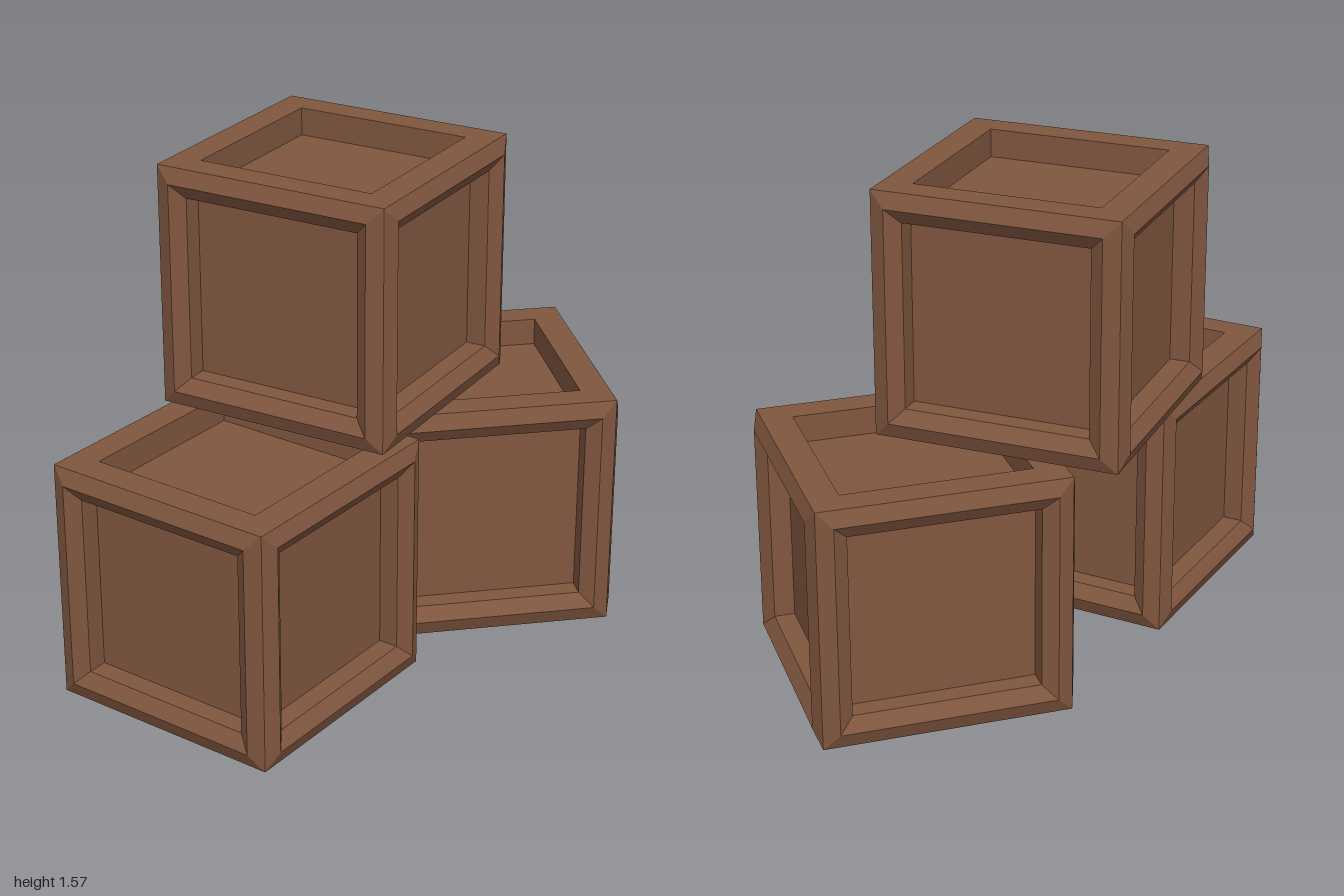
import * as THREE from 'three';

// A panel facing +z built from square rings [halfWidth, distanceFromCentre], closed by the last ring
function ringPanel(rings) {
  const pos = [];
  const corner = ([h, d], i) => [[-h, -h, d], [h, -h, d], [h, h, d], [-h, h, d]][i % 4];
  const quad = (a, b, c, d) => pos.push(...a, ...b, ...c, ...a, ...c, ...d);
  for (let r = 0; r < rings.length - 1; r++) {
    for (let i = 0; i < 4; i++) {
      quad(corner(rings[r], i), corner(rings[r], i + 1), corner(rings[r + 1], i + 1), corner(rings[r + 1], i));
    }
  }
  const last = rings[rings.length - 1];
  quad(corner(last, 0), corner(last, 1), corner(last, 2), corner(last, 3));
  const geo = new THREE.BufferGeometry();
  geo.setAttribute('position', new THREE.Float32BufferAttribute(pos, 3));
  geo.computeVertexNormals();
  return geo;
}

export function createModel() {
  const wood = new THREE.MeshStandardMaterial({ color: 0x80563f });
  wood.name = 'brownWood';

  const H = 0.39; // half of a crate's size
  // Sides: raised frame, sloping lip, then a sunken board
  const sideGeo = ringPanel([[H, H], [0.34, 0.41], [0.295, 0.38], [0.295, 0.315]]);
  // Lid: flat rim around a sunken board
  const lidGeo = ringPanel([[H, H], [0.295, H], [0.295, 0.3]]).rotateX(-Math.PI / 2);
  const baseGeo = ringPanel([[H, H]]).rotateX(Math.PI / 2);

  function crate(name, x, y, z, degrees) {
    const group = new THREE.Group();
    group.name = name;
    const add = (geo, part, turn = 0) => {
      const mesh = new THREE.Mesh(geo, wood);
      mesh.name = part;
      mesh.rotation.y = turn;
      group.add(mesh);
    };
    ['frontSide', 'leftSide', 'backSide', 'rightSide'].forEach((part, i) => add(sideGeo, part, i * Math.PI / 2));
    add(lidGeo, 'lid');
    add(baseGeo, 'base');
    group.position.set(x, y + H, z);
    group.rotation.y = THREE.MathUtils.degToRad(degrees);
    return group;
  }

  const model = new THREE.Group();
  model.name = 'crateStack';
  model.add(
    crate('lowerRightCrate', -0.505, 0, 0.125, 18.4),
    crate('lowerLeftCrate', 0.48, 0, -0.01, -25.5),
    crate('upperCrate', 0.015, 0.79, -0.105, 24.5)
  );
  return model;
}
